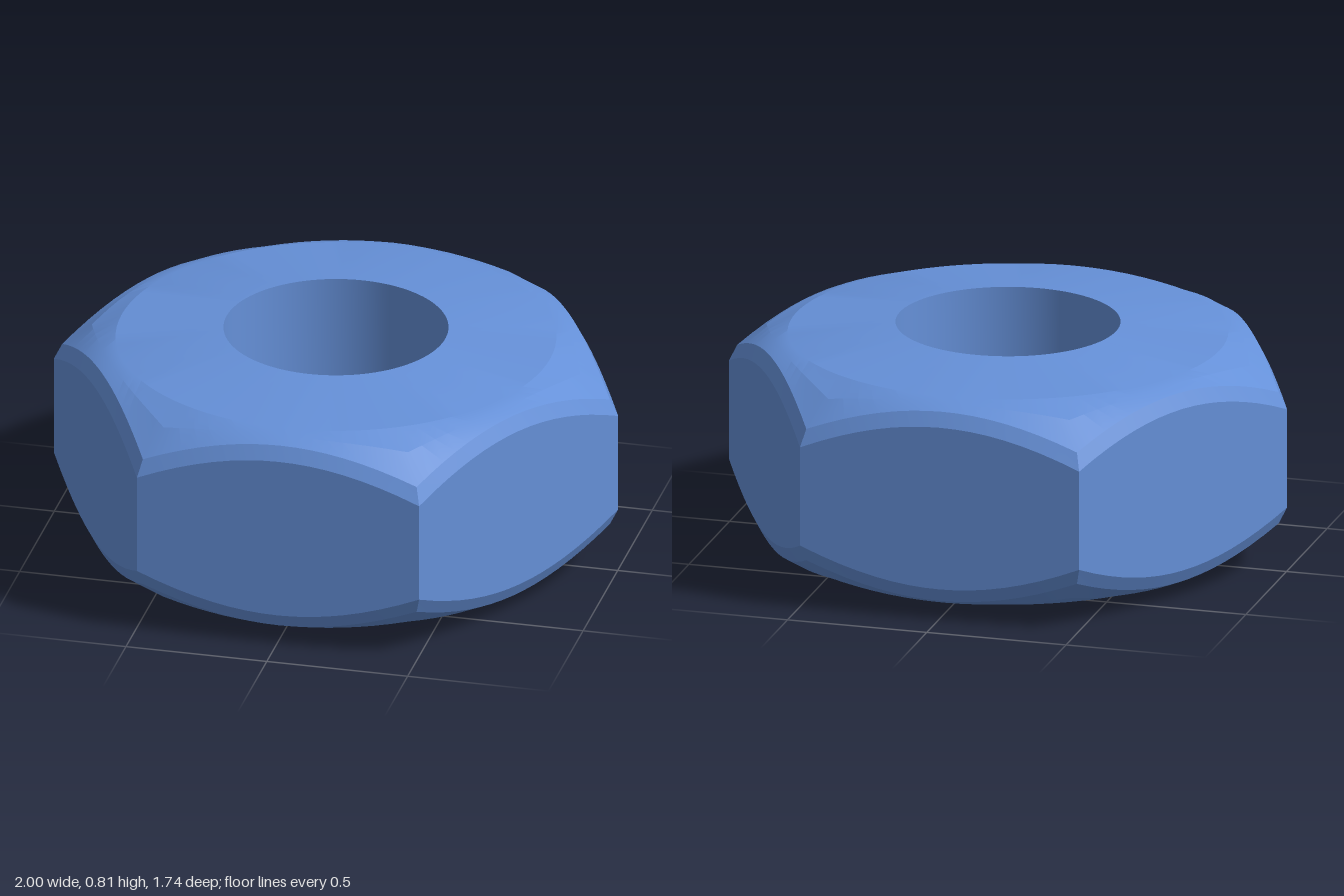
import * as THREE from 'three';
import { toCreasedNormals } from 'three/addons/utils/BufferGeometryUtils.js';

const SEGMENTS = 96;
const APOTHEM = Math.sqrt(3) / 2;
const HALF = 0.4075; // half the height of the nut

// Upper half of the radial section at an angle, from the hex wall inwards: [radius, height]
function upperSection(angle) {
  const sector = Math.PI / 3;
  const local = (angle % sector) - sector / 2;
  const wall = APOTHEM / Math.cos(local);
  const t = (wall - APOTHEM) / (1 - APOTHEM); // 0 mid-face, 1 at a corner
  const rim = [wall - 0.026 - 0.004 * t, 0.343 - 0.105 * t];
  const shoulder = [0.76, 0.372];
  return [
    [wall, 0.293 - 0.115 * t],
    rim,
    [(rim[0] + shoulder[0]) / 2, (rim[1] + shoulder[1]) / 2 + 0.004 + 0.014 * t],
    shoulder,
    [0.388, HALF],
  ];
}

// Closed ring of sections: bottom bore edge, out to the wall, up and back to the bore
function nutGeometry() {
  const positions = [];
  const indices = [];
  let rows = 0;
  for (let i = 0; i < SEGMENTS; i++) {
    const a = (i / SEGMENTS) * Math.PI * 2;
    const upper = upperSection(a);
    const lower = upper.map(([r, y]) => [r, -y]).reverse();
    const section = [...lower, ...upper];
    rows = section.length;
    for (const [r, y] of section) positions.push(r * Math.cos(a), y + HALF, r * Math.sin(a));
  }
  for (let i = 0; i < SEGMENTS; i++) {
    const next = (i + 1) % SEGMENTS;
    for (let j = 0; j < rows; j++) {
      const k = (j + 1) % rows;
      const a = i * rows + j, b = i * rows + k;
      const c = next * rows + k, d = next * rows + j;
      indices.push(a, b, c, a, c, d);
    }
  }
  const geometry = new THREE.BufferGeometry();
  geometry.setAttribute('position', new THREE.Float32BufferAttribute(positions, 3));
  geometry.setIndex(indices);
  return toCreasedNormals(geometry, 0.22);
}

export function createModel() {
  const group = new THREE.Group();
  group.name = 'hexNut';
  const nut = new THREE.Mesh(nutGeometry(), new THREE.MeshStandardMaterial({ color: 0x6590d8 }));
  nut.name = 'nutBody';
  nut.rotation.y = 0.008; // slight turn off the axes
  group.add(nut);
  return group;
}
